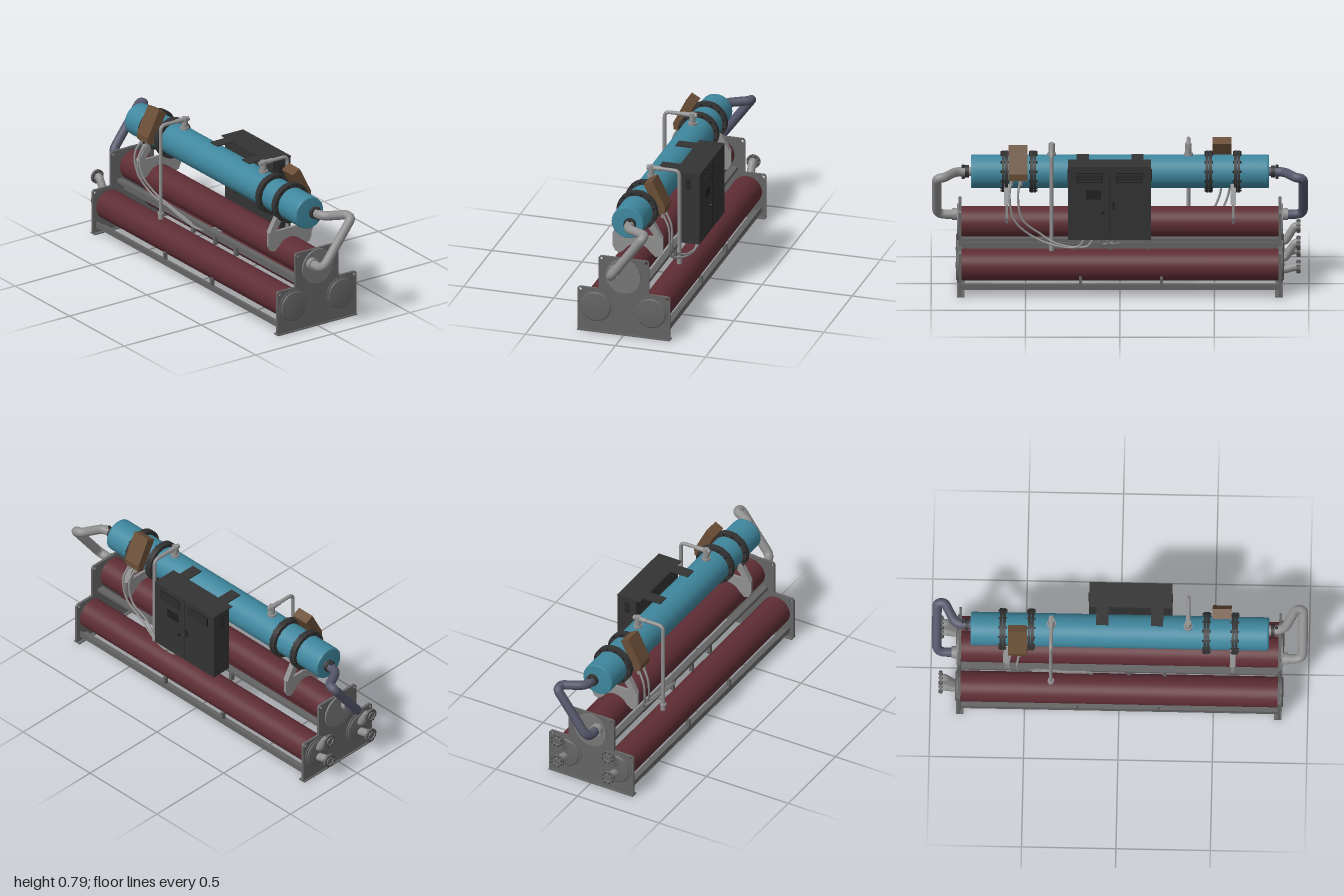
import * as THREE from 'three';

const mat = (color) => new THREE.MeshStandardMaterial({ color, side: THREE.DoubleSide });
const MAROON = mat(0x5e2d34), BLUE = mat(0x3f879e), FRAME = mat(0x646464), LIGHT = mat(0x909090),
  BLACK = mat(0x333333), DARK = mat(0x1f1f1f), BROWN = mat(0x6a4e36), STEEL = mat(0x55566a), COVER = mat(0x777777);

function add(parent, name, geo, m, x = 0, y = 0, z = 0) {
  const mesh = new THREE.Mesh(geo, m);
  mesh.name = name;
  mesh.position.set(x, y, z);
  parent.add(mesh);
  return mesh;
}
const box = (p, name, m, w, h, d, x, y, z) => add(p, name, new THREE.BoxGeometry(w, h, d), m, x, y, z);
const cyl = (p, name, m, r, h, x, y, z, n = 32) => add(p, name, new THREE.CylinderGeometry(r, r, h, n), m, x, y, z);
const cylX = (p, name, m, r, h, x, y, z, n = 40) =>
  add(p, name, new THREE.CylinderGeometry(r, r, h, n).rotateZ(-Math.PI / 2), m, x, y, z);

// Lathe about the x axis; profile points are [radius, x]
const latheX = (p, name, m, pts, x, y, z) => add(p, name, new THREE.LatheGeometry(
  pts.map(([r, h]) => new THREE.Vector2(r, h)), 48).rotateZ(-Math.PI / 2), m, x, y, z);

// Flat outline in (z, y) given thickness along x
function plateX(p, name, m, pts, holes, thick, x) {
  const s = new THREE.Shape(pts.map(([z, y]) => new THREE.Vector2(z, y)));
  for (const [z, y, r] of holes) s.holes.push(new THREE.Path().absarc(z, y, r, 0, Math.PI * 2, true));
  const g = new THREE.ExtrudeGeometry(s, { depth: thick, bevelEnabled: false, curveSegments: 24 });
  return add(p, name, g.translate(0, 0, -thick / 2).rotateY(-Math.PI / 2), m, x);
}

// Pipe with straight runs and rounded bends
function pipe(p, name, m, pts, r, bend, segs = 60) {
  const v = pts.map((q) => new THREE.Vector3(...q));
  const path = new THREE.CurvePath();
  let from = v[0];
  for (let i = 1; i < v.length - 1; i++) {
    const a = v[i].clone().sub(v[i - 1]), b = v[i + 1].clone().sub(v[i]);
    const k = Math.min(bend, a.length() * 0.48, b.length() * 0.48);
    const s = v[i].clone().addScaledVector(a.normalize(), -k), e = v[i].clone().addScaledVector(b.normalize(), k);
    path.add(new THREE.LineCurve3(from, s));
    path.add(new THREE.QuadraticBezierCurve3(s, v[i], e));
    from = e;
  }
  path.add(new THREE.LineCurve3(from, v[v.length - 1]));
  return add(p, name, new THREE.TubeGeometry(path, segs, r, 16), m);
}

function hose(p, name, pts, r) {
  const c = new THREE.CatmullRomCurve3(pts.map((q) => new THREE.Vector3(...q)));
  return add(p, name, new THREE.TubeGeometry(c, 60, r, 8), LIGHT);
}

// Ring of bolts around an axis along x
function bolts(p, n, R, r, len, x, y, z, m) {
  for (let i = 0; i < n; i++) {
    const a = ((i + 0.5) / n) * Math.PI * 2;
    cylX(p, 'bolt', m, r, len, x, y + R * Math.cos(a), z + R * Math.sin(a), 6);
  }
}

export function createModel() {
  const root = new THREE.Group();
  root.name = 'chiller';
  const group = (name) => { const g = new THREE.Group(); g.name = name; root.add(g); return g; };

  // Three long heat exchanger shells
  const shells = group('shells');
  for (const z of [-0.153, 0.153]) cylX(shells, 'lowerShell', MAROON, 0.082, 1.68, 0, 0.148, z, 64);
  cylX(shells, 'upperShell', MAROON, 0.082, 1.68, 0, 0.342, 0, 64);

  // Stepped end plates, feet and shell covers
  const half = [[0.257, 0], [0.257, 0.24], [0.247, 0.25], [0.14, 0.25], [0.14, 0.43], [0.13, 0.442]];
  const outline = [...half, ...half.map(([z, y]) => [-z, y]).reverse()];
  const eyes = [-1, 1].flatMap((s) => [[s * 0.242, 0.235, 0.009], [s * 0.125, 0.427, 0.009]]);
  for (const s of [-1, 1]) {
    const end = group(s > 0 ? 'leftEnd' : 'rightEnd');
    plateX(end, 'endPlate', FRAME, outline, eyes, 0.014, s * 0.847);
    box(end, 'foot', FRAME, 0.04, 0.006, 0.514, s * 0.842, 0.003, 0);
    cylX(end, 'upperCover', COVER, 0.097, 0.012, s * 0.858, 0.342, 0, 48);
    for (const z of [-0.153, 0.153]) {
      cylX(end, 'coverRing', FRAME, 0.093, 0.006, s * 0.856, 0.148, z, 48);
      bolts(end, 10, 0.088, 0.003, 0.004, s * 0.86, 0.148, z, FRAME);
      latheX(end, 'dishedCover', FRAME,
        [[0.084, 0], [0.083, s * 0.005], [0.075, s * 0.011], [0, s * 0.013]], s * 0.857, 0.148, z);
    }
  }

  // Base rails, middle rails and small brackets
  const frame = group('frame');
  for (const s of [-1, 1]) {
    box(frame, 'baseRail', FRAME, 1.68, 0.03, 0.008, 0, 0.05, s * 0.232);
    box(frame, 'railLedge', FRAME, 1.68, 0.006, 0.05, 0, 0.038, s * 0.212);
    box(frame, 'middleRail', FRAME, 1.68, 0.018, 0.035, 0, 0.27, s * 0.085);
    box(frame, 'innerRail', FRAME, 1.68, 0.03, 0.012, 0, 0.225, s * 0.05);
    for (const x of [-0.22, 0.21]) box(frame, 'railTab', FRAME, 0.016, 0.045, 0.02, x, 0.082, s * 0.225);
    for (const x of [-0.15, 0.05, 0.24]) box(frame, 'shellBracket', FRAME, 0.02, 0.06, 0.02, x, 0.24, s * 0.09);
  }

  // Saddles carrying the compressor barrel on the upper shell
  const saddles = group('saddles');
  for (const x of [-0.6, 0.6]) {
    plateX(saddles, 'saddlePlate', LIGHT,
      [[0.14, 0.475], [-0.14, 0.475], [-0.14, 0.4], [-0.125, 0.37], [-0.1, 0.36], [-0.075, 0.38],
        [-0.05, 0.405], [0, 0.42], [0.05, 0.405], [0.075, 0.38], [0.1, 0.36], [0.125, 0.37], [0.14, 0.4]],
      [], 0.014, x);
    for (const s of [-1, 1]) plateX(saddles, 'saddleLeg', LIGHT,
      [[s * 0.137, 0.475], [s * 0.1, 0.475], [s * 0.06, 0.53], [s * 0.07, 0.575], [s * 0.09, 0.56]], [], 0.03, x);
  }

  // Compressor barrel with bolted flanges
  const barrel = group('compressor');
  latheX(barrel, 'barrel', BLUE, [[0, -0.79], [0.083, -0.79], [0.088, -0.785], [0.089, -0.775],
    [0.089, 0.775], [0.088, 0.785], [0.083, 0.79], [0, 0.79]], 0, 0.62, 0);
  for (const x of [-0.62, -0.47, 0.46, 0.61]) {
    for (const s of [-1, 1]) cylX(barrel, 'flange', BLACK, 0.111, 0.015, x + s * 0.0085, 0.62, 0, 48);
    bolts(barrel, 12, 0.101, 0.006, 0.046, x, 0.62, 0, DARK);
  }

  // Large bent pipes joining the barrel ends to the upper shell
  for (const s of [-1, 1]) {
    const g = group(s > 0 ? 'leftPipe' : 'rightPipe');
    const m = s > 0 ? LIGHT : STEEL;
    pipe(g, 'bentPipe', m, [[s * 0.79, 0.625, -0.02], [s * 0.87, 0.625, -0.025], [s * 0.93, 0.627, -0.14],
      [s * 0.97, 0.62, -0.14], [s * 0.97, 0.37, 0.045], [s * 0.86, 0.37, 0.045]], 0.025, 0.05, 100);
    cylX(g, 'pipeFlange', BLACK, 0.033, 0.02, s * 0.81, 0.625, -0.02);
    cyl(g, 'valveStem', BLACK, 0.008, 0.075, s * 0.83, 0.625, -0.025, 12);
    cylX(g, 'shellCollar', LIGHT, 0.032, 0.03, s * 0.875, 0.37, 0.045);
  }

  // Two flanged water nozzles on each lower shell, right end only
  const nozzles = group('waterNozzles');
  for (const z of [-0.155, 0.155]) for (const [y0, y1] of [[0.19, 0.272], [0.125, 0.14]]) {
    pipe(nozzles, 'nozzle', LIGHT, [[-0.85, y0, z], [-0.875, y0, z], [-0.925, y1, z], [-0.955, y1, z]], 0.022, 0.03, 30);
    cylX(nozzles, 'nozzleFlange', FRAME, 0.038, 0.012, -0.945, y1, z, 32);
    bolts(nozzles, 8, 0.031, 0.004, 0.022, -0.945, y1, z, BLACK);
  }

  // Relief pipe, valve and terminal box, repeated by a half turn
  for (const turn of [0, Math.PI]) {
    const g = group(turn ? 'rearFittings' : 'frontFittings');
    g.rotation.y = turn;
    const x = -0.362;
    pipe(g, 'reliefPipe', LIGHT, [[x, 0.25, 0.155], [x, 0.763, 0.155], [x, 0.763, 0]], 0.01, 0.03);
    cyl(g, 'reliefFoot', LIGHT, 0.014, 0.05, x, 0.235, 0.155, 20);
    cyl(g, 'reliefFootFlange', LIGHT, 0.017, 0.01, x, 0.262, 0.155, 20);
    cyl(g, 'valveBody', LIGHT, 0.017, 0.07, x, 0.74, 0, 20);
    cyl(g, 'valveBase', LIGHT, 0.024, 0.012, x, 0.715, 0, 20);
    add(g, 'valveOutlet', new THREE.CylinderGeometry(0.013, 0.013, 0.08, 16).rotateX(Math.PI / 2), LIGHT, x, 0.763, 0.015);
    plateX(g, 'terminalBox', BROWN,
      [[0.075, 0.788], [0.028, 0.762], [0.115, 0.6], [0.146, 0.61], [0.148, 0.645]], [], 0.1, -0.54);
    for (const dx of [-0.03, 0.02]) cyl(g, 'cableGland', LIGHT, 0.01, 0.03, -0.545 + dx, 0.595, 0.13, 12);
  }

  // Power cables to the control panel
  const cables = group('cables');
  for (let i = 0; i < 2; i++) {
    const d = i * 0.045, e = i * 0.012;
    hose(cables, 'frontCable', [[-0.575 + d, 0.6, 0.13], [-0.585 + d, 0.53, 0.165], [-0.565 + d, 0.42, 0.16],
      [-0.5 + d, 0.32 + e, 0.12], [-0.35, 0.295 + e, 0.115], [-0.24, 0.27 + e, 0.11],
      [-0.1, 0.24 + e, 0.08], [0.02, 0.245 + e, -0.08], [0.06 + d, 0.27, -0.17], [0.07 + d, 0.32, -0.19]], 0.006);
    hose(cables, 'rearCable', [[0.575 - d, 0.6, -0.13], [0.585 - d, 0.53, -0.165], [0.56 - d, 0.4, -0.165],
      [0.47 - d, 0.31 + e, -0.15], [0.33, 0.26 + e, -0.18], [0.22 - d, 0.265, -0.2], [0.18 - d, 0.32, -0.2]], 0.006);
  }

  // Control panel on the rear with straps over the barrel
  const panel = group('controlPanel');
  box(panel, 'cabinet', BLACK, 0.44, 0.4, 0.115, 0.055, 0.512, -0.181);
  box(panel, 'cabinetTop', BLACK, 0.44, 0.006, 0.14, 0.055, 0.712, -0.17);
  for (const x of [-0.093, 0.197]) {
    box(panel, 'strap', BLACK, 0.065, 0.006, 0.11, x, 0.712, -0.055);
    box(panel, 'strapLeg', BLACK, 0.065, 0.08, 0.012, x, 0.45, -0.118);
  }
  box(panel, 'doorSeam', DARK, 0.003, 0.36, 0.003, 0.055, 0.51, -0.239);
  for (const x of [-0.05, 0.16]) {
    box(panel, 'ventFrame', DARK, 0.14, 0.055, 0.005, x, 0.655, -0.24);
    for (let i = 0; i < 5; i++) box(panel, 'ventSlat', BLACK, 0.13, 0.005, 0.006, x, 0.635 + i * 0.01, -0.241);
  }
  for (const s of [-1, 1]) for (let i = 0; i < 6; i++)
    box(panel, 'sideLouver', DARK, 0.006, 0.005, 0.028, 0.055 + s * 0.221, 0.625 + i * 0.011, -0.178);
  box(panel, 'display', DARK, 0.08, 0.05, 0.005, 0.14, 0.56, -0.24);
  box(panel, 'handle', DARK, 0.01, 0.04, 0.01, 0.035, 0.5, -0.241);
  add(panel, 'switchKnob', new THREE.CylinderGeometry(0.008, 0.008, 0.014, 16).rotateX(Math.PI / 2), DARK, 0.09, 0.463, -0.243);
  return root;
}
